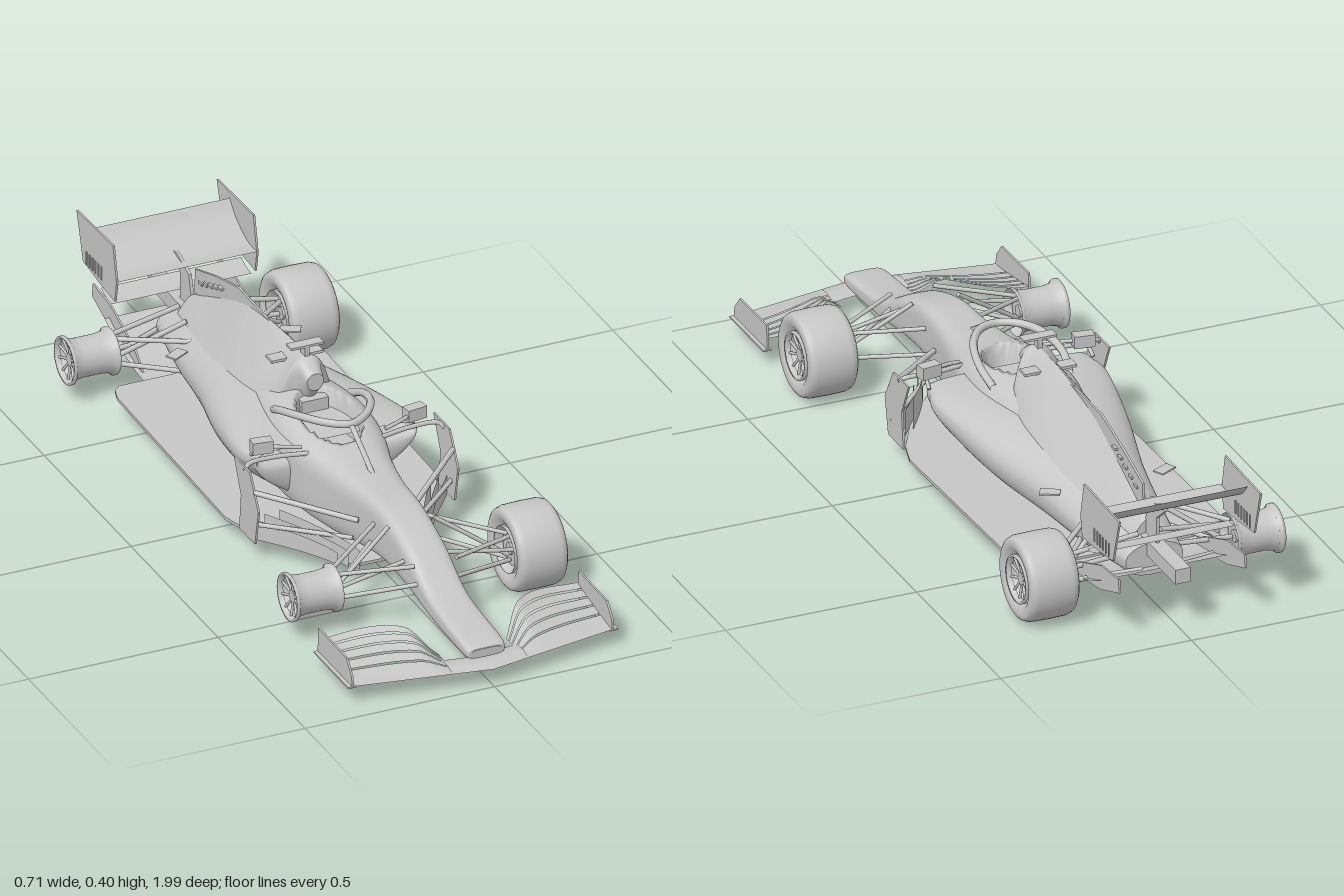
import * as THREE from 'three';

const grey = new THREE.MeshStandardMaterial({ color: 0xc6c6c6, side: THREE.DoubleSide });
grey.name = 'plain grey';

const V = (x, y, z) => new THREE.Vector3(x, y, z);
const lerp = THREE.MathUtils.lerp;

function add(parent, name, geometry) {
  const mesh = new THREE.Mesh(geometry, grey);
  mesh.name = name;
  parent.add(mesh);
  return mesh;
}
function box(parent, name, w, h, d, x, y, z) {
  const m = add(parent, name, new THREE.BoxGeometry(w, h, d));
  m.position.set(x, y, z);
  return m;
}
function rod(parent, name, a, b, r) {
  const m = add(parent, name, new THREE.CylinderGeometry(r, r, a.distanceTo(b), 8));
  m.position.copy(a).lerp(b, 0.5);
  m.quaternion.setFromUnitVectors(V(0, 1, 0), b.clone().sub(a).normalize());
  return m;
}
function tube(parent, name, points, r) {
  return add(parent, name, new THREE.TubeGeometry(new THREE.CatmullRomCurve3(points), 32, r, 8));
}
function extrude(points, depth) {
  const shape = new THREE.Shape(points.map(p => new THREE.Vector2(p[0], p[1])));
  return new THREE.ExtrudeGeometry(shape, { depth, bevelEnabled: false }).translate(0, 0, -depth / 2);
}
// outline in (z, y), thickness across x
const sidePlate = (parent, name, pts, t, x) =>
  add(parent, name, extrude(pts, t).rotateY(-Math.PI / 2).translate(x, 0, 0));

// curved sheet from a point function of u and v
function sheet(parent, name, fn, nu, nv) {
  const pos = [], idx = [];
  for (let i = 0; i <= nu; i++) for (let j = 0; j <= nv; j++) {
    pos.push(...fn(i / nu, j / nv));
    if (i < nu && j < nv) {
      const a = i * (nv + 1) + j, c = a + nv + 1;
      idx.push(a, a + 1, c, c, a + 1, c + 1);
    }
  }
  const g = new THREE.BufferGeometry();
  g.setAttribute('position', new THREE.Float32BufferAttribute(pos, 3));
  g.setIndex(idx);
  g.computeVertexNormals();
  return add(parent, name, g);
}

// loft through stations [z, half width, bottom, widest height, top, top power, bottom power]
function loft(parent, name, stations, warp, steps = 8, N = 56) {
  const rows = [], pos = [], idx = [], last = stations.length - 1;
  for (let i = 0; i <= last * steps; i++) {
    const k = Math.min(Math.floor(i / steps), last - 1), t = i / steps - k;
    const [p, a, b, q] = [k - 1, k, k + 1, k + 2].map(n => stations[THREE.MathUtils.clamp(n, 0, last)]);
    rows.push(a.map((v, n) => {
      const m0 = (b[n] - p[n]) / 2, m1 = (q[n] - v) / 2, d = b[n] - v;
      return v + m0 * t + (3 * d - 2 * m0 - m1) * t * t + (m0 + m1 - 2 * d) * t * t * t;
    }));
  }
  const ring = ([z, w, bot, mid, top, nt, nb]) => {
    for (let j = 0; j < N; j++) {
      const a = j / N * Math.PI * 2, c = Math.cos(a), s = Math.sin(a), e = 2 / (s > 0 ? nt : nb);
      const x = w * Math.sign(c) * Math.abs(c) ** e;
      const y = mid + (s > 0 ? top - mid : mid - bot) * Math.sign(s) * Math.abs(s) ** e;
      pos.push(x, warp && s > 0 ? warp(x, y, z) : y, z);
    }
  };
  rows.forEach(ring);
  for (let i = 0; i < rows.length - 1; i++) for (let j = 0; j < N; j++) {
    const a = i * N + j, b = i * N + (j + 1) % N;
    idx.push(a, a + N, b, b, a + N, b + N);
  }
  [rows[0], rows[rows.length - 1]].forEach((r, e) => {
    const s = pos.length / 3;
    ring(r);
    pos.push(0, r[3], r[0]);
    for (let j = 0; j < N; j++) {
      const a = s + j, b = s + (j + 1) % N;
      idx.push(s + N, e ? b : a, e ? a : b);
    }
  });
  const g = new THREE.BufferGeometry();
  g.setAttribute('position', new THREE.Float32BufferAttribute(pos, 3));
  g.setIndex(idx);
  g.computeVertexNormals();
  return add(parent, name, g);
}

// axis along x, outer face at +x; only one side of the car carries tyres
function wheel(name, x, z, side, withTyre) {
  const g = new THREE.Group();
  g.name = name;
  const lathe = pts => new THREE.LatheGeometry(pts.map(p => new THREE.Vector2(p[0], p[1])), 48).rotateZ(-Math.PI / 2);
  add(g, 'rim', lathe([[.059, -.062], [.06, -.054], [.052, -.048], [.049, -.02], [.049, .025],
    [.053, .048], [.061, .054], [.061, .062], [.055, .062], [.05, .05]]));
  if (withTyre) add(g, 'tyre', lathe([[.06, -.05], [.075, -.062], [.093, -.064], [.102, -.058], [.107, -.044],
    [.108, 0], [.107, .044], [.102, .058], [.093, .064], [.075, .062], [.06, .05]]));
  for (let i = 0; i < 10; i++) {
    const a = i / 10 * Math.PI * 2;
    rod(g, 'spoke', V(.046, Math.cos(a) * .012, Math.sin(a) * .012), V(.052, Math.cos(a) * .054, Math.sin(a) * .054), .0035);
  }
  add(g, 'hub', new THREE.CylinderGeometry(.016, .016, .1, 20).rotateZ(Math.PI / 2));
  add(g, 'brakeDisc', new THREE.CylinderGeometry(.044, .044, .03, 32).rotateZ(Math.PI / 2)).position.x = -.03;
  g.position.set(side * x, .111, z);
  if (side < 0) g.rotation.y = Math.PI;
  return g;
}

export function createModel() {
  const car = new THREE.Group();
  car.name = 'racingCar';

  // nose and cockpit tub, with the cockpit opening pressed in
  loft(car, 'noseAndTub', [
    [.955, .040, .066, .075, .086, 4, 4], [.93, .052, .062, .08, .098, 4, 4], [.74, .052, .068, .095, .125, 4, 4],
    [.60, .056, .085, .14, .196, 4, 4], [.47, .060, .09, .16, .233, 4.5, 4], [.34, .070, .07, .16, .238, 4, 4],
    [.22, .092, .05, .17, .248, 3.2, 4], [.12, .118, .05, .18, .268, 3, 4], [.02, .128, .05, .18, .288, 2.8, 4],
    [-.08, .125, .05, .18, .29, 2.4, 4], [-.2, .11, .05, .18, .28, 2, 3]
  ], (x, y, z) => {
    const r = (x / .07) ** 2 + ((z - .05) / .115) ** 2;
    return r < 1 ? y - .11 * Math.min(1, (1 - r) * 3.5) : y;
  }, 10, 80);

  // sidepods with hollow inlets and a tapering tail
  loft(car, 'sidepods', [
    [.02, .18, .195, .21, .228, 4, 4], [.09, .208, .182, .21, .236, 4, 3], [.07, .215, .06, .205, .238, 4, 1.5],
    [0, .226, .05, .195, .242, 3.2, 1.5], [-.2, .192, .05, .17, .25, 2.2, 1.9], [-.4, .142, .055, .15, .235, 1.9, 2.2],
    [-.6, .108, .065, .13, .20, 1.8, 2.4], [-.78, .075, .08, .125, .165, 2, 2.5]
  ]);

  // airbox and engine cover spine
  loft(car, 'engineCover', [
    [-.03, .022, .30, .325, .345, 2, 2], [-.07, .034, .25, .33, .368, 2.4, 2], [-.11, .075, .2, .26, .373, 1.3, 2],
    [-.25, .105, .15, .22, .368, 1.1, 2], [-.42, .095, .12, .2, .345, 1, 2],
    [-.58, .07, .1, .18, .285, 1, 2], [-.74, .045, .1, .15, .21, 1.3, 2]
  ]);
  sidePlate(car, 'sharkFin', [[-.2, .36], [-.47, .364], [-.6, .33], [-.715, .292], [-.72, .225], [-.6, .25], [-.3, .3]], .006, 0);
  for (let i = 0; i < 5; i++) box(car, 'coolingRib', .022 - i * .002, .006, .02, 0, .318 - i * .012, -.56 - i * .03);

  // cameras over the airbox
  box(car, 'cameraStem', .012, .04, .025, 0, .38, -.09);
  box(car, 'cameraBar', .086, .006, .03, 0, .398, -.09);
  box(car, 'airboxWinglet', .136, .007, .035, 0, .341, -.15);

  // floor plate with slight rake
  const half = [[.07, .38], [.12, .33], [.2, .22], [.255, .12], [.275, .05], [.275, -.57], [.265, -.605], [.245, -.62], [.17, -.62]];
  const outline = [...half, ...half.map(([x, z]) => [-x, z]).reverse()];
  const floor = add(car, 'floor', extrude(outline, .008).rotateX(Math.PI / 2));
  floor.rotation.x = .028;
  floor.position.y = .055;
  sheet(car, 'diffuser', (u, v) => [lerp(-.18, .18, u), .07 + .06 * v * v, -.6 - .25 * v], 8, 8);

  // halo
  tube(car, 'halo', [V(-.1, .262, -.05), V(-.108, .29, .01), V(-.09, .309, .09), V(-.05, .313, .15), V(0, .311, .175),
    V(.05, .313, .15), V(.09, .309, .09), V(.108, .29, .01), V(.1, .262, -.05)], .01);
  tube(car, 'haloStrut', [V(0, .31, .175), V(0, .278, .23), V(0, .235, .3)], .007);
  box(car, 'headrest', .07, .05, .03, 0, .25, -.045);

  // front wing centre section
  const lead = x => .995 - .18 * Math.abs(x);
  sheet(car, 'frontWingCentre', (u, v) => {
    const x = lerp(-.1, .1, u);
    return [x, .048 + .008 * Math.sin(v * Math.PI), lead(x) - .075 * v];
  }, 12, 6);

  // rear wing planes, crash structure and pylon
  const plane = (name, z0, y0, z1, y1, sag) => sheet(car, name, (u, v) =>
    [lerp(-.185, .185, u), lerp(y0, y1, v) - sag * Math.sin(v * Math.PI), lerp(z0, z1, v)], 2, 10);
  plane('rearWingMain', -.76, .275, -.875, .30, .012);
  plane('rearWingFlap', -.865, .295, -.92, .342, .006);
  plane('rearWingBeam', -.80, .195, -.86, .21, .004);
  sidePlate(car, 'wingPylon', [[-.72, .15], [-.75, .26], [-.82, .285], [-.85, .28], [-.8, .24], [-.8, .15]], .008, 0);
  box(car, 'crashStructure', .04, .038, .22, 0, .153, -.84);

  for (const s of [-1, 1]) {
    const P = (x, y, z) => V(s * x, y, z);
    const tyres = s > 0;
    car.add(wheel('frontWheel', .286, .567, s, tyres), wheel('rearWheel', .279, -.73, s, tyres));

    // front suspension
    [[.055, .175, .66, .235, .15, .575], [.06, .185, .44, .235, .15, .56], [.05, .13, .67, .235, .085, .575],
     [.06, .125, .42, .235, .085, .56], [.055, .16, .60, .235, .125, .60], [.06, .215, .52, .235, .095, .567]]
      .forEach(a => rod(car, 'frontSuspensionArm', P(a[0], a[1], a[2]), P(a[3], a[4], a[5]), .0055));
    // rear suspension
    [[.05, .18, -.56, .225, .15, -.72], [.03, .18, -.75, .225, .15, -.735], [.07, .11, -.54, .225, .085, -.72],
     [.04, .11, -.80, .225, .085, -.74], [.04, .125, -.73, .225, .111, -.73], [.06, .2, -.64, .225, .09, -.725]]
      .forEach(a => rod(car, 'rearSuspensionArm', P(a[0], a[1], a[2]), P(a[3], a[4], a[5]), .0065));

    // front wing elements
    const trail = x => .87 - .135 * (1 - (1 - (x - .09) / .25) ** 2.5);
    [[0, .33], [.36, .52], [.55, .69], [.72, .85], [.88, 1]].forEach(([t0, t1]) => sheet(car, 'frontWingElement', (u, v) => {
      const x = lerp(.09, .34, s > 0 ? u : 1 - u), t = lerp(t0, t1, v);
      const rise = .056 * THREE.MathUtils.smoothstep(x, .085, .15) * (1 - .45 * THREE.MathUtils.smoothstep(x, .15, .34));
      return [s * x, .048 + rise * t ** 1.2, lerp(lead(x), trail(x), t)];
    }, 20, 4));
    sidePlate(car, 'frontEndplate', [[.935, .046], [.93, .075], [.9, .11], [.74, .112], [.735, .046]], .005, s * .343);
    box(car, 'endplateFoot', .022, .004, .2, s * .345, .047, .835);

    // rear wing endplate with slots
    sidePlate(car, 'rearEndplate', [[-.785, .362], [-.995, .356], [-.958, .235], [-.86, .222], [-.775, .215], [-.765, .27]], .005, s * .185);
    for (let i = 0; i < 6; i++) box(car, 'endplateLouvre', .009, .035, .005, s * .185, .255, -.85 - i * .017);
    sidePlate(car, 'diffuserFence', [[-.65, .065], [-.84, .1], [-.95, .14], [-.945, .175], [-.84, .165], [-.7, .11]], .005, s * .165);

    // bargeboards and deflector frame
    for (let i = 0; i < 3; i++) sheet(car, 'bargeboard', (u, v) =>
      [s * lerp(.085 + .02 * i, .2 + .03 * i, u ** 1.3), .05 + (.085 - .015 * i) * v * (.6 + .4 * u), lerp(.41, .2, u) - .02 * i], 10, 2);
    sidePlate(car, 'deflector', [[.2, .055], [.22, .15], [.17, .235], [.08, .235], [.12, .15], [.11, .055]], .005, s * .263);
    tube(car, 'deflectorBar', [P(.09, .235, .14), P(.18, .237, .125), P(.25, .236, .13), P(.263, .225, .14)], .006);
    rod(car, 'frameStay', P(.07, .16, .37), P(.262, .19, .19), .007);
    rod(car, 'lowerStay', P(.08, .11, .36), P(.262, .1, .18), .006);

    // mirror and its stalk
    box(car, 'mirror', .052, .032, .03, s * .202, .26, .1).rotation.y = s * .15;
    tube(car, 'mirrorStalk', [P(.11, .25, .13), P(.15, .255, .12), P(.19, .258, .105)], .005);
    rod(car, 'mirrorPost', P(.212, .25, .1), P(.215, .225, .07), .005);

    // winglet on the rear cover
    box(car, 'coverWinglet', .05, .004, .03, s * .15, .2, -.5).rotation.y = s * -.5;
  }
  return car;
}
